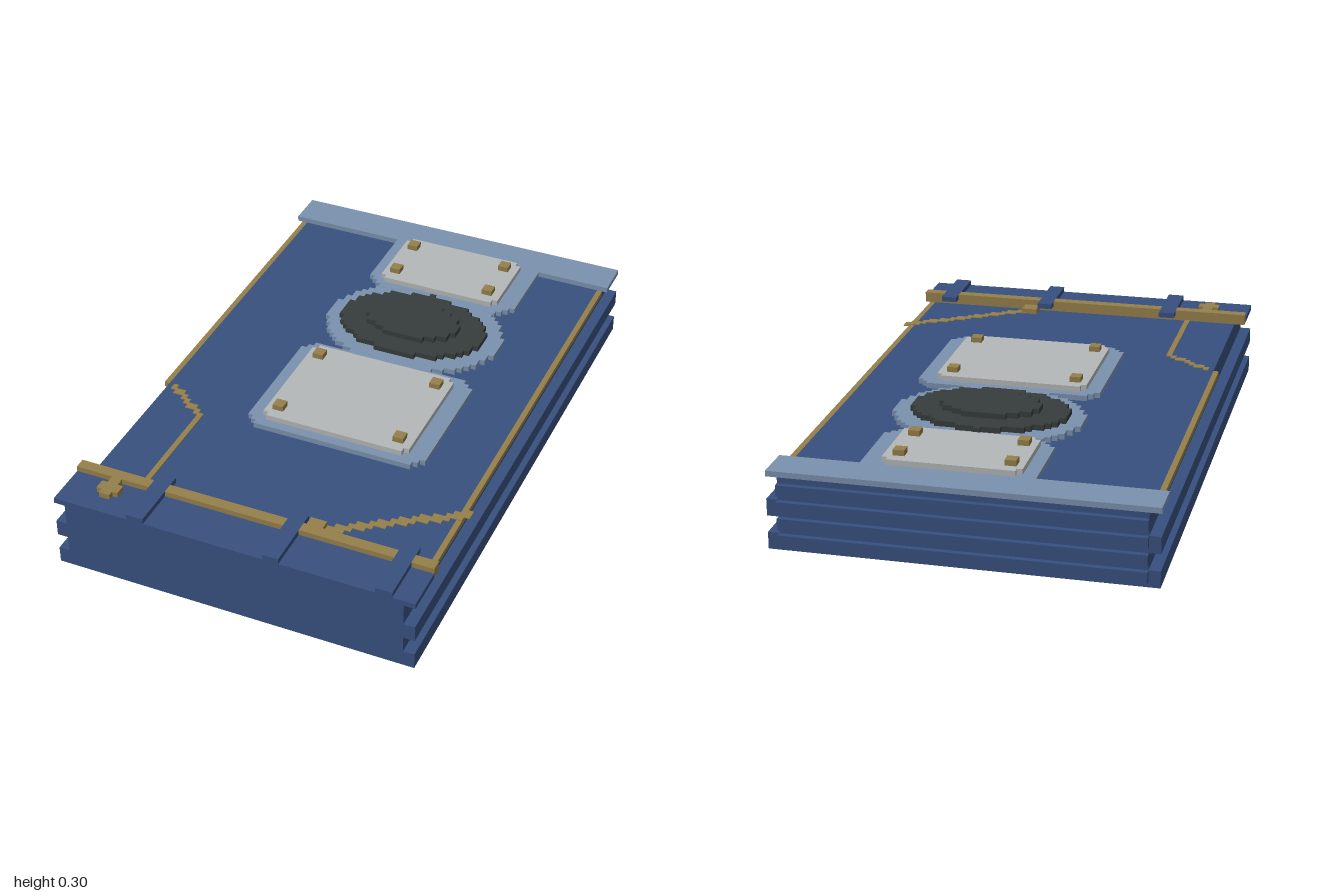
import * as THREE from 'three';

const V = 2 / 106; // one voxel; heights below are given in voxels
const paint = (name, color) => {
  const m = new THREE.MeshStandardMaterial({ color });
  m.name = name;
  return m;
};

export function createModel() {
  const root = new THREE.Group();
  root.name = 'steppedDevice';
  const blue = paint('navy blue', 0x38507f);
  const pale = paint('pale blue', 0x7b92ae);
  const grey = paint('light grey', 0xb5b8b8);
  const gold = paint('dull gold', 0x957f4a);
  const dark = paint('charcoal', 0x373d3c);

  const add = (name, geometry, material) => {
    const mesh = new THREE.Mesh(geometry, material);
    mesh.name = name;
    root.add(mesh);
    return mesh;
  };

  // Box from x and z ranges in units, and y range in voxels
  const box = (name, mat, x0, x1, y0, y1, z0, z1) => {
    const g = new THREE.BoxGeometry(x1 - x0, (y1 - y0) * V, z1 - z0);
    g.translate((x0 + x1) / 2, (y0 + y1) * V / 2, (z0 + z1) / 2);
    return add(name, g, mat);
  };

  // Flat plate with a staircase outline, mirrored about x = cx;
  // halfWidth(t) is evaluated at the middle of each voxel row
  const stepped = (name, mat, cx, z0, z1, y0, y1, halfWidth) => {
    const rows = Math.round((z1 - z0) / V), d = (z1 - z0) / rows;
    const left = [], right = [];
    for (let i = 0; i < rows; i++) {
      const w = Math.max(1, Math.round(halfWidth((i + 0.5) * d) / V)) * V;
      for (const z of [z0 + i * d, z0 + (i + 1) * d]) {
        right.push(new THREE.Vector2(cx + w, -z));
        left.unshift(new THREE.Vector2(cx - w, -z));
      }
    }
    const g = new THREE.ExtrudeGeometry(new THREE.Shape([...right, ...left]),
      { depth: (y1 - y0) * V, bevelEnabled: false });
    g.rotateX(-Math.PI / 2).translate(0, y0 * V, 0);
    return add(name, g, mat);
  };
  const ellipse = (name, mat, cx, cz, rx, rz, y0, y1) =>
    stepped(name, mat, cx, cz - rz, cz + rz, y0, y1,
      t => rx * Math.sqrt(Math.max(0, 1 - ((t - rz) / rz) ** 2)));
  const chamfered = (name, mat, x0, x1, z0, z1, y0, y1, cutBack, cutFront) =>
    stepped(name, mat, (x0 + x1) / 2, z0, z1, y0, y1, t =>
      (x1 - x0) / 2 - Math.max(0, cutBack - t, cutFront - (z1 - z0 - t)));

  // Main body: grooved side profile run from back to front
  const W = 33 * V, N = 31 * V;
  const half = [[W, 0], [W, 3], [N, 3], [N, 6], [W, 6], [W, 9], [N, 9], [N, 13]];
  const outline = [...half, ...half.map(([x, y]) => [-x, y]).reverse()]
    .map(([x, y]) => new THREE.Vector2(x, y * V));
  const body = new THREE.ExtrudeGeometry(new THREE.Shape(outline),
    { depth: 2 - V, bevelEnabled: false });
  add('body', body.translate(0, 0, V - 1), blue);

  // Back ridges
  for (const y of [1, 4, 7, 10])
    box('backRidge', blue, -N, N, y, y + 2, -1, V - 1);

  // Back bar, front ledge, gold rail and its straps
  box('backBar', pale, -W, W, 13, 14, V - 1, -0.85);
  box('frontLedge', blue, -W, W, 13, 14, 0.85, 1);
  const straps = [[-0.36, -0.302], [0.113, 0.168], [0.49, 0.547]];
  for (const [x0, x1] of straps)
    box('strap', blue, x0, x1, 14, 15, 0.774, 1);
  box('railBase', gold, -W, W, 13, 14, 0.812, 0.85);
  const ends = [-W, ...straps.flat(), W];
  for (let i = 0; i < ends.length; i += 2)
    box('rail', gold, ends[i], ends[i + 1], 14, 15, 0.812, 0.85);
  box('knobStem', gold, -0.493, -0.457, 14, 15, 0.85, 0.87);
  chamfered('knob', gold, -0.512, -0.437, 0.86, 0.936, 14, 15, V, V);

  // Gold edge strips
  box('leftStrip', gold, N, N + V, 12, 13, -0.85, 0.812);
  box('rightStrip', gold, -N - V, -N, 12, 13, -0.85, 0.283);

  // Inlaid gold lines on the top
  const inlayTop = 13.15;
  box('inlayLine', gold, -0.415, -0.396, 13, inlayTop, 0.415, 0.812);
  for (let i = 0; i < 9; i++) {
    const x = -0.566 + i * V, z = 0.283 + Math.round(i * 0.7) * V;
    box('inlayStep', gold, x, x + V, 13, inlayTop, z, z + V * 1.5);
  }
  for (let i = 0; i < 23; i++) {
    const x = W - (i + 1) * V, z = 0.51 + Math.round(i * 0.64) * V;
    box('inlayStep', gold, x, x + V, 13, inlayTop, z, Math.min(z + 2 * V, 0.812));
  }
  box('inlayEnd', gold, 0.168, 0.224, 13, 14, 0.757, 0.812);

  // Pale mounting layer
  chamfered('upperMount', pale, -0.203, 0.353, -0.85, -0.53, 13, 14, 0, 0.06);
  ellipse('ringMount', pale, 0.07, -0.34, 0.318, 0.245, 13, 14);
  box('mountNeck', pale, -0.085, 0.217, 13, 14, -0.16, -0.1);
  chamfered('lowerMount', pale, -0.245, 0.388, -0.113, 0.391, 13, 14, 0.05, 0.05);

  // Grey panels with gold bolts
  const panels = [
    ['upperPanel', -0.17, 0.301, -0.85, -0.566, [-0.118, 0.242], [-0.795, -0.625]],
    ['lowerPanel', -0.203, 0.333, -0.08, 0.358, [-0.155, 0.28], [-0.022, 0.301]],
  ];
  for (const [name, x0, x1, z0, z1, xs, zs] of panels) {
    chamfered(name, grey, x0, x1, z0, z1, 14, 15, 0.04, 0.04);
    for (const x of xs) for (const z of zs)
      box('bolt', gold, x - V, x + V, 15, 16, z - V, z + V);
  }

  // Dark oval dial
  ellipse('dial', dark, 0.066, -0.336, 0.264, 0.18, 14, 15);
  ellipse('dialCap', dark, 0.066, -0.336, 0.17, 0.104, 15, 16);
  box('dialTab', dark, 0.055, 0.076, 14, 15, -0.533, -0.51);

  return root;
}
